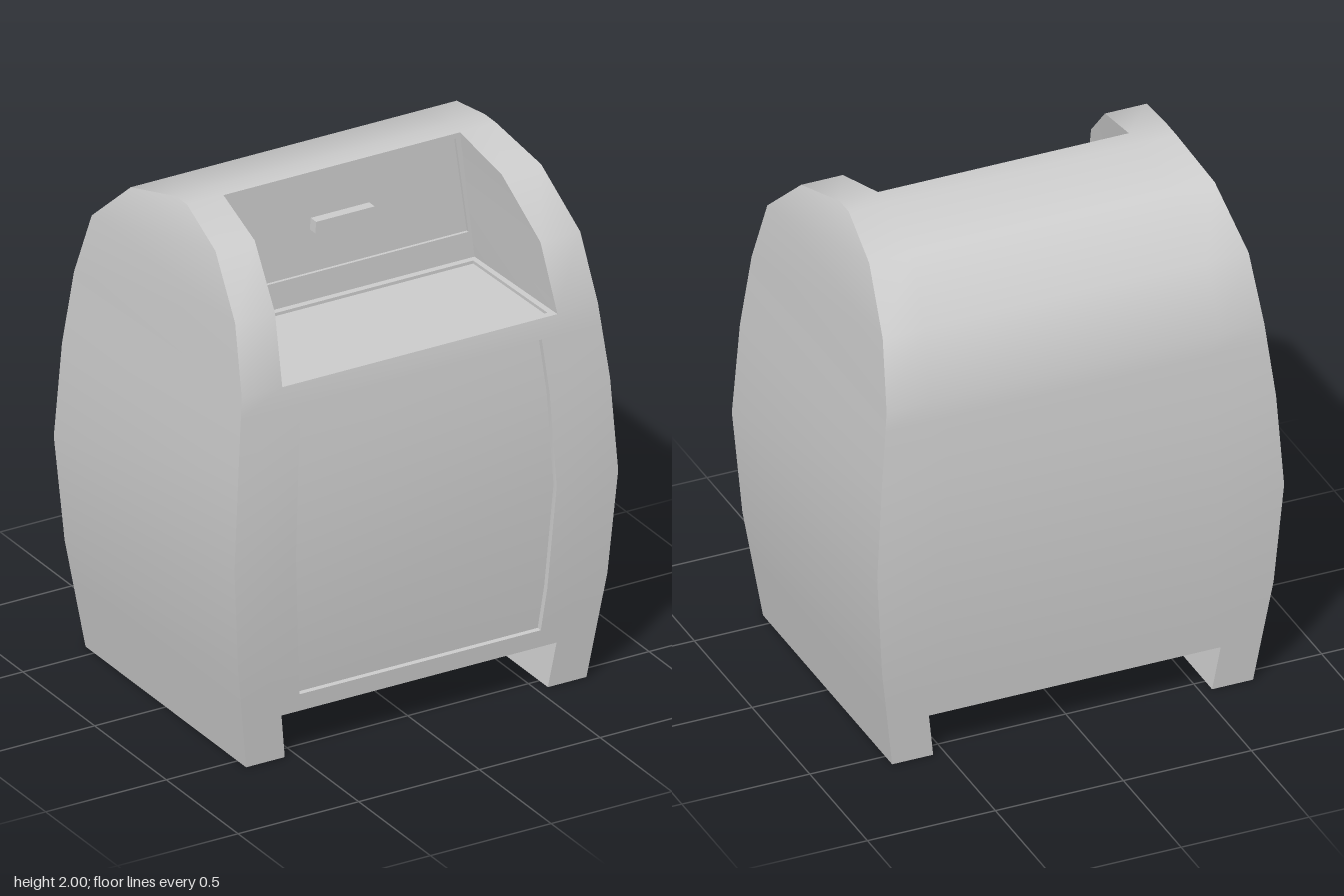
import * as THREE from 'three';
import { toCreasedNormals } from 'three/addons/utils/BufferGeometryUtils.js';

// Body outline: [height, half width, half depth]
const OUTLINE = [
  [0, 0.705, 0.56], [0.42, 0.765, 0.605], [0.83, 0.795, 0.63], [1.2, 0.77, 0.615],
  [1.49, 0.738, 0.585], [1.745, 0.715, 0.5], [1.935, 0.675, 0.295], [2, 0.64, 0.04],
];
// Inner edge of the front side strips: [height, half width]
const INNER = [
  [0, 0.545], [0.18, 0.57], [0.25, 0.5], [0.42, 0.516], [0.83, 0.54], [1.2, 0.52],
  [1.41, 0.5], [1.49, 0.57], [1.745, 0.55], [1.935, 0.512], [2, 0.49],
];
const DOOR_DEPTH = 0.022, PANEL_DEPTH = 0.012;
const WALL_Z = 0.04, FLOOR_Y = 1.49, BASE_Y = 0.18;

function bodyAt(y) {
  const i = Math.max(1, OUTLINE.findIndex((p) => p[0] >= y));
  const a = OUTLINE[i - 1], b = OUTLINE[i], t = (y - a[0]) / (b[0] - a[0]);
  return { x: a[1] + (b[1] - a[1]) * t, z: a[2] + (b[2] - a[2]) * t };
}

// Collects quads (counter-clockwise from outside) into one mesh
class Surface {
  constructor() { this.pos = []; }
  quad(a, b, c, d) { this.pos.push(...a, ...b, ...c, ...a, ...c, ...d); }
  // The quad and its mirror image across x = 0
  pair(a, b, c, d) {
    this.quad(a, b, c, d);
    this.quad(...[d, c, b, a].map(([x, y, z]) => [-x, y, z]));
  }
  // Ring of quads between two loops of corners
  ring(outer, inner) {
    const n = outer.length;
    for (let i = 0; i < n; i++) {
      const j = (i + 1) % n;
      this.quad(outer[i], outer[j], inner[j], inner[i]);
    }
  }
  mesh(name, material) {
    const g = new THREE.BufferGeometry();
    g.setAttribute('position', new THREE.Float32BufferAttribute(this.pos, 3));
    const m = new THREE.Mesh(toCreasedNormals(g, 0.6), material);
    m.name = name;
    return m;
  }
}

// Flat border with a sunken panel inside it
function sunkenPanel(outer, inner, offset, name, material) {
  const s = new Surface();
  const sunk = inner.map((p) => p.map((v, k) => v + offset[k]));
  s.ring(outer, inner);
  s.ring(inner, sunk);
  s.quad(...sunk);
  return s.mesh(name, material);
}

export function createModel() {
  const group = new THREE.Group();
  const material = new THREE.MeshStandardMaterial({ color: 0xcccccc });
  const shell = new Surface(), door = new Surface(), niche = new Surface();
  const wallX = (y) => 0.55 - 0.06 * (y - FLOOR_Y) / (2 - FLOOR_Y);

  // Shell, built in bands from the feet to the crown
  for (let i = 0; i + 1 < INNER.length; i++) {
    const [y0, n0] = INNER[i], [y1, n1] = INNER[i + 1];
    const a = bodyAt(y0), b = bodyAt(y1);
    // Side walls, front and back strips
    shell.pair([a.x, y0, a.z], [a.x, y0, -a.z], [b.x, y1, -b.z], [b.x, y1, b.z]);
    shell.pair([n0, y0, a.z], [a.x, y0, a.z], [b.x, y1, b.z], [n1, y1, b.z]);
    shell.pair([a.x, y0, -a.z], [n0, y0, -a.z], [n1, y1, -b.z], [b.x, y1, -b.z]);

    if (y0 < BASE_Y) {
      // Inner faces of the feet
      shell.pair([n0, y0, -a.z], [n0, y0, a.z], [n1, y1, b.z], [n1, y1, -b.z]);
      continue;
    }
    // Middle of the back
    shell.quad([n0, y0, -a.z], [-n0, y0, -a.z], [-n1, y1, -b.z], [n1, y1, -b.z]);

    if (y0 >= FLOOR_Y) {
      // Cheeks of the niche
      const w0 = wallX(y0), w1 = wallX(y1);
      niche.pair([n0, y0, a.z], [n1, y1, b.z], [w1, y1, WALL_Z], [w0, y0, WALL_Z]);
    } else if (y0 >= 0.25 && y1 <= 1.41) {
      // Sunken front door and the sides of its recess
      const za = a.z - DOOR_DEPTH, zb = b.z - DOOR_DEPTH;
      door.quad([-n0, y0, za], [n0, y0, za], [n1, y1, zb], [-n1, y1, zb]);
      door.pair([n0, y0, za], [n0, y0, a.z], [n1, y1, b.z], [n1, y1, zb]);
    } else {
      shell.quad([-n0, y0, a.z], [n0, y0, a.z], [n1, y1, b.z], [-n1, y1, b.z]);
    }
  }

  // Sill and head of the door recess
  for (const [y, s] of [[0.25, 1], [1.41, -1]]) {
    const z = bodyAt(y).z, x = 0.5 * s;
    door.quad([-x, y, z], [x, y, z], [x, y, z - DOOR_DEPTH], [-x, y, z - DOOR_DEPTH]);
  }

  // Soles of the feet, underside and flat crown
  const f = bodyAt(0), u = bodyAt(BASE_Y);
  shell.pair([0.545, 0, -f.z], [f.x, 0, -f.z], [f.x, 0, f.z], [0.545, 0, f.z]);
  shell.quad([-0.57, BASE_Y, -u.z], [0.57, BASE_Y, -u.z], [0.57, BASE_Y, u.z], [-0.57, BASE_Y, u.z]);
  shell.pair([0.49, 2, 0.04], [0.64, 2, 0.04], [0.64, 2, -0.04], [0.49, 2, -0.04]);
  shell.quad([-0.49, 2, 0.04], [0.49, 2, 0.04], [0.49, 2, -0.04], [-0.49, 2, -0.04]);

  group.add(
    shell.mesh('body', material),
    door.mesh('frontDoor', material),
    niche.mesh('nicheCheeks', material),
  );

  // Niche floor and hatch wall, each with a sunken panel
  const floorLoop = (xf, zf, xb, zb) =>
    [[-xf, FLOOR_Y, zf], [xf, FLOOR_Y, zf], [xb, FLOOR_Y, zb], [-xb, FLOOR_Y, zb]];
  const wallLoop = (x0, y0, x1, y1) =>
    [[-x0, y0, WALL_Z], [x0, y0, WALL_Z], [x1, y1, WALL_Z], [-x1, y1, WALL_Z]];
  group.add(
    sunkenPanel(floorLoop(0.57, 0.585, 0.55, WALL_Z), floorLoop(0.545, 0.557, 0.53, 0.065),
      [0, -PANEL_DEPTH, 0], 'nicheFloor', material),
    sunkenPanel(wallLoop(0.55, FLOOR_Y, 0.49, 2), wallLoop(0.525, 1.595, 0.472, 1.98),
      [0, 0, -PANEL_DEPTH], 'hatch', material),
  );

  // Hatch handle, slightly narrower at the top
  const grip = new THREE.BoxGeometry(0.25, 0.045, 0.04);
  const p = grip.attributes.position;
  for (let i = 0; i < p.count; i++) if (p.getY(i) > 0) p.setX(i, p.getX(i) * 0.97);
  grip.computeVertexNormals();
  const handle = new THREE.Mesh(grip, material);
  handle.name = 'hatchHandle';
  handle.position.set(0, 1.788, 0.046);
  group.add(handle);
  return group;
}
